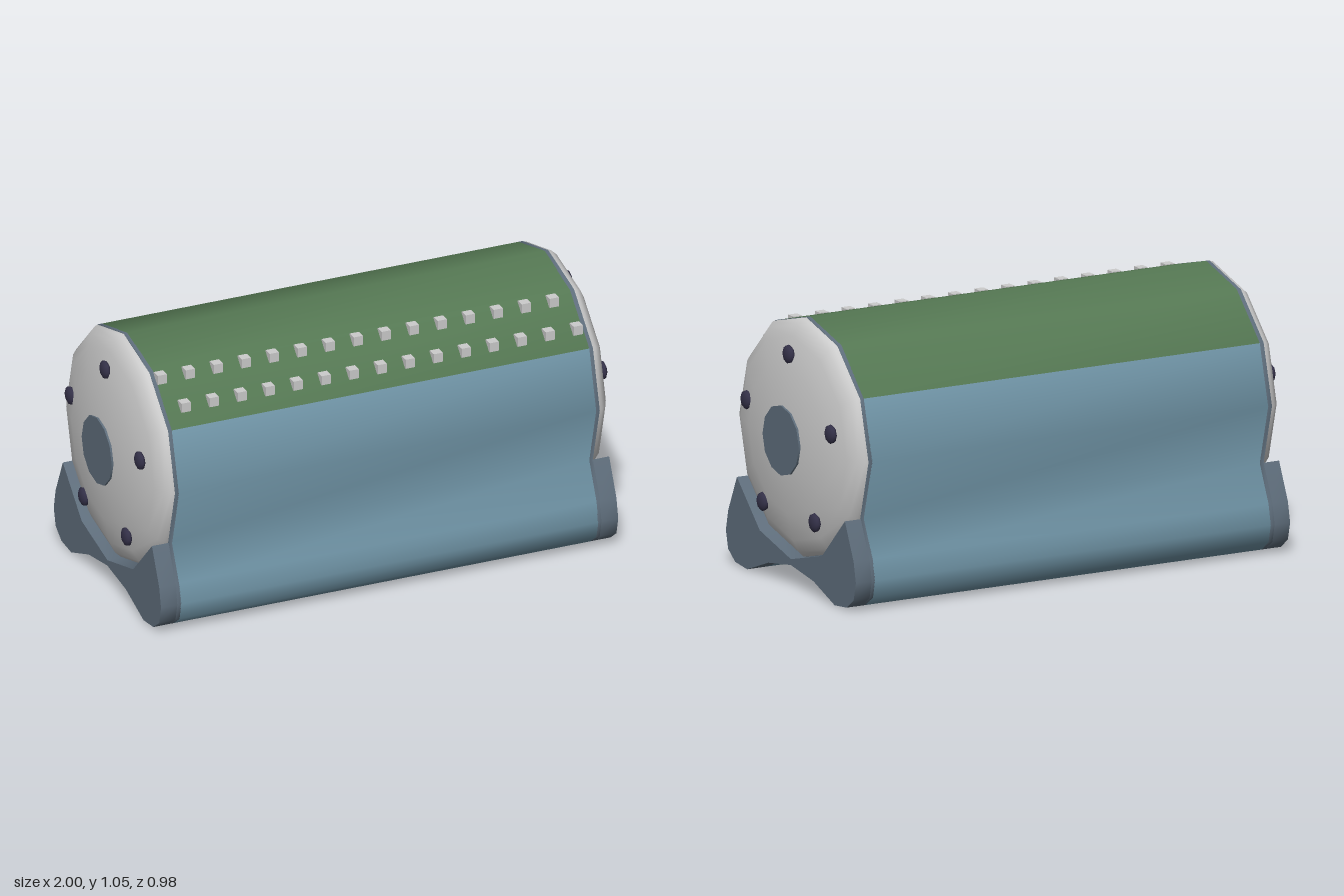
import * as THREE from 'three';
import { toCreasedNormals } from 'three/addons/utils/BufferGeometryUtils.js';

const R = 0.47, CY = 0.58; // drum radius and axis height
const mat = (color) => new THREE.MeshStandardMaterial({ color });
const mats = {
  grey: mat(0xcccccc), blue: mat(0x6f93a5), green: mat(0x557853),
  slate: mat(0x5f6e7c), dark: mat(0x35324a),
};

function part(name, geometry, material, parent) {
  const mesh = new THREE.Mesh(geometry, material);
  mesh.name = name;
  parent.add(mesh);
  return mesh;
}

// Points of the twelve-sided drum, as [z, y]; index 0 is the top
const drum = (i) => [R * Math.sin(i * Math.PI / 6), CY + R * Math.cos(i * Math.PI / 6)];
// Foot outline from outer front to the middle of the underside
const foot = [[0.473, 0.2], [0.49, 0.12], [0.473, 0.05], [0.42, 0.01], [0.33, 0], [0.17, 0.06]];
const mirrored = (pts) => pts.map(([z, y]) => [-z, y]).reverse();

// Sweep a [z, y] outline along x between x0 and x1
function sweep(points, x0, x1) {
  const shape = new THREE.Shape(points.map(([z, y]) => new THREE.Vector2(z, y)));
  const g = new THREE.ExtrudeGeometry(shape, { depth: x1 - x0, bevelEnabled: false });
  g.rotateY(Math.PI / 2).translate(x0, 0, 0);
  return toCreasedNormals(g, 0.85);
}

// Keep the triangles that lie above (or not above) a height
function split(geometry, height, above) {
  const { position, normal } = geometry.attributes;
  const pos = [], nor = [];
  for (let i = 0; i < position.count; i += 3) {
    const low = Math.min(position.getY(i), position.getY(i + 1), position.getY(i + 2));
    if ((low > height) !== above) continue;
    pos.push(...position.array.slice(i * 3, i * 3 + 9));
    nor.push(...normal.array.slice(i * 3, i * 3 + 9));
  }
  const g = new THREE.BufferGeometry();
  g.setAttribute('position', new THREE.Float32BufferAttribute(pos, 3));
  g.setAttribute('normal', new THREE.Float32BufferAttribute(nor, 3));
  return g;
}

// One end, built at +x
function createEnd(outline) {
  const end = new THREE.Group();
  part('rim', sweep(outline, 0.87, 0.887), mats.slate, end);

  // Cradle-shaped foot that hugs the underside of the drum
  const cradle = [drum(4), ...foot, [0, 0.087], ...mirrored(foot), drum(8), drum(7), drum(6), drum(5)];
  part('supportFoot', sweep(cradle, 0.885, 0.955), mats.slate, end);

  // Domed cap
  const profile = [[R, 0.88], [0.466, 0.9], [0.445, 0.922], [0.4, 0.944], [0.29, 0.973], [0.137, 0.992], [0, 0.995]];
  const cap = new THREE.LatheGeometry(profile.map(([r, x]) => new THREE.Vector2(r, x)), 12);
  cap.rotateZ(-Math.PI / 2).translate(0, CY, 0);
  part('endCap', cap, mats.grey, end);

  const hub = new THREE.CylinderGeometry(0.137, 0.137, 0.02, 12);
  hub.rotateZ(-Math.PI / 2).translate(0.99, CY, 0);
  part('hubDisc', hub, mats.slate, end);

  // Ring of five bolts
  for (let i = 0; i < 5; i++) {
    const a = i * Math.PI * 2 / 5;
    const bolt = part('bolt', new THREE.SphereGeometry(0.038, 8, 6).rotateZ(-Math.PI / 2), mats.dark, end);
    bolt.scale.x = 0.45;
    bolt.position.set(0.965, CY + 0.333 * Math.cos(a) - (i ? 0.015 : 0), 0.333 * Math.sin(a));
  }
  return end;
}

export function createModel() {
  const model = new THREE.Group();
  model.name = 'barrelMachine';

  // Main casing: blue sides and underside, green top
  const half = [drum(1), drum(2), drum(3), drum(4), ...foot];
  const outline = [drum(0), ...half, [0, 0.087], ...mirrored(half)];
  const body = sweep(outline, -0.872, 0.872);
  part('casing', split(body, 0.81, false), mats.blue, model);
  part('topPanel', split(body, 0.81, true), mats.green, model);

  for (const side of [1, -1]) {
    const end = createEnd(outline);
    end.name = side > 0 ? 'leftEnd' : 'rightEnd';
    if (side < 0) end.rotation.y = Math.PI;
    model.add(end);
  }

  // Two staggered rows of studs on the front slope
  const stud = new THREE.BoxGeometry(0.038, 0.038, 0.038);
  for (const [x0, y, z] of [[-0.853, 0.97, 0.26], [-0.794, 0.88, 0.35]]) {
    for (let i = 0; i < 15; i++) {
      part('stud', stud, mats.grey, model).position.set(x0 + i * 0.117, y, z);
    }
  }
  return model;
}
